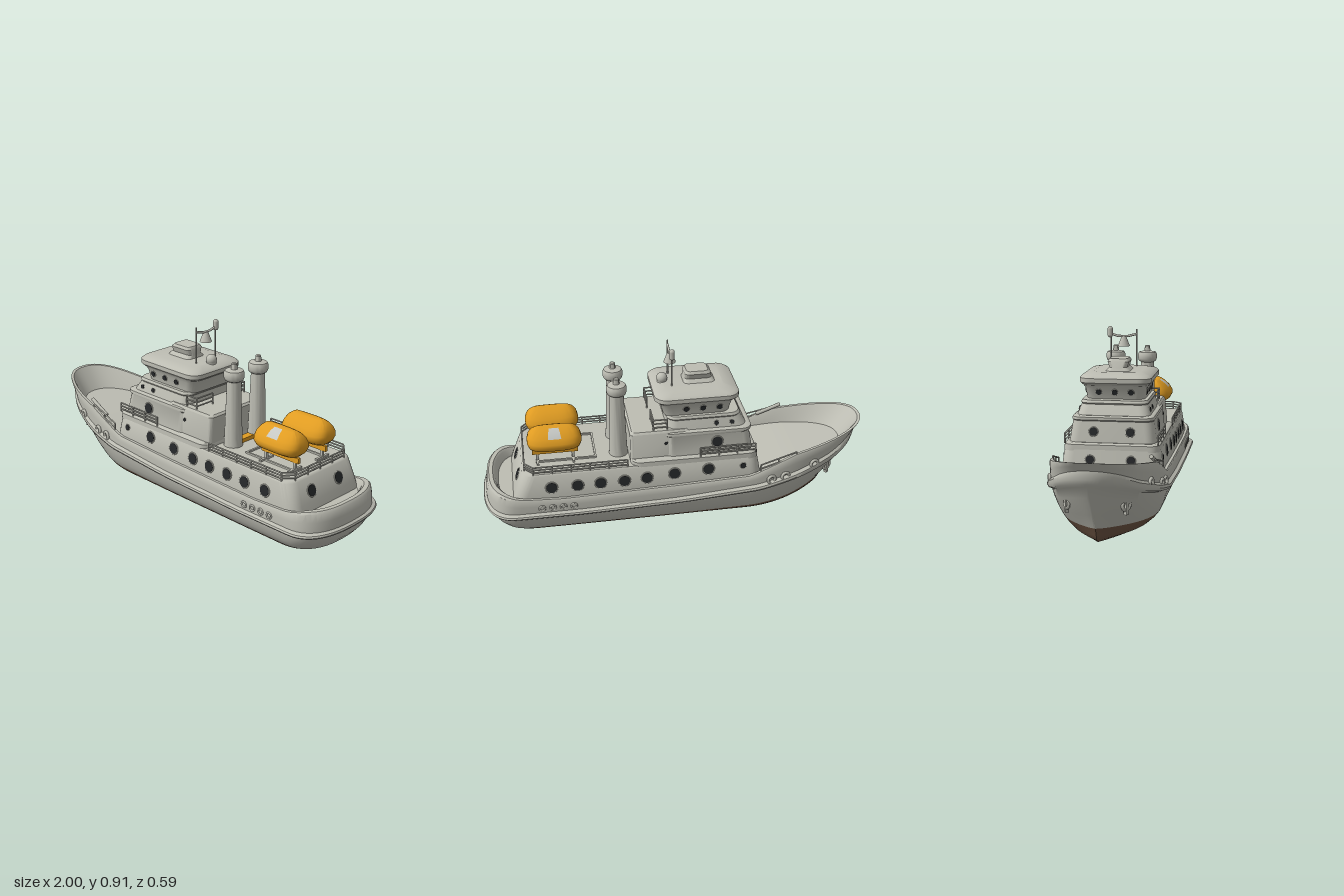
import * as THREE from 'three';
import { toCreasedNormals } from 'three/addons/utils/BufferGeometryUtils.js';

const mat = (name, color) => Object.assign(new THREE.MeshStandardMaterial({ color }), { name });
const grey = mat('ship grey', 0xbdbdb3);
const brown = mat('bottom brown', 0x6f5644);
const dark = mat('window dark', 0x26282a);
const orange = mat('lifeboat orange', 0xe09c22);
const pale = mat('hatch pale grey', 0xc6c8c4);
const V = (x, y, z) => new THREE.Vector3(x, y, z);
const UP = V(0, 1, 0);

// Piecewise linear curve through [x, y] pairs
const curve = (pts) => (x) => {
  let i = 1;
  while (i < pts.length - 1 && x > pts[i][0]) i++;
  const [a, b] = [pts[i - 1], pts[i]];
  return a[1] + (b[1] - a[1]) * THREE.MathUtils.clamp((x - a[0]) / (b[0] - a[0]), 0, 1);
};

function add(parent, name, geo, material, x = 0, y = 0, z = 0) {
  const m = new THREE.Mesh(geo, material);
  m.name = name;
  m.position.set(x, y, z);
  parent.add(m);
  return m;
}

// Skin closed rings stacked upward; pick(i, j) chooses the material of a quad
function loft(rings, crease, materials = 1, pick = () => 0) {
  const n = rings[0].length, lists = Array.from({ length: materials }, () => []);
  for (let i = 0; i < rings.length - 1; i++)
    for (let j = 0; j < n; j++) {
      const k = (j + 1) % n, a = i * n + j, b = i * n + k, c = a + n, d = b + n;
      lists[pick(i, j)].push(a, b, d, a, d, c);
    }
  const geo = new THREE.BufferGeometry().setFromPoints(rings.flat());
  geo.setIndex(lists.flat());
  let start = 0;
  lists.forEach((l, i) => { geo.addGroup(start, l.length, i); start += l.length; });
  return toCreasedNormals(geo, crease);
}
const flat = (ring) => ring.map((p) => V(p.x, p.y, 0));
const capped = (rings) => [flat(rings[0]), ...rings, flat(rings[rings.length - 1])];

// Rounded-rectangle storey; levels are [x0, x1, half width, y, corner radius]
function tier(parent, name, levels, material = grey) {
  const rings = levels.map(([x0, x1, w, y, r]) => {
    const ring = [];
    for (let c = 0; c < 4; c++)
      for (let s = 0; s <= 6; s++) {
        const a = (c + s / 6) * Math.PI / 2;
        const cx = c === 0 || c === 3 ? x1 - r : x0 + r, cz = c < 2 ? r - w : w - r;
        ring.push(V(cx + r * Math.cos(a), y, cz - r * Math.sin(a)));
      }
    return ring;
  });
  return add(parent, name, loft(capped(rings), 0.7), material);
}

function bar(parent, name, a, b, r = 0.004, material = grey) {
  const d = b.clone().sub(a);
  const m = add(parent, name, new THREE.CylinderGeometry(r, r, d.length(), 8), material);
  m.position.copy(a).addScaledVector(d, 0.5);
  m.quaternion.setFromUnitVectors(UP, d.normalize());
}

// Posts with horizontal bars along a path
function railing(parent, name, pts, h, bars = 3) {
  const g = new THREE.Group();
  g.name = name;
  parent.add(g);
  for (let i = 0; i < pts.length - 1; i++) {
    const [a, b] = [pts[i], pts[i + 1]], n = Math.max(1, Math.round(a.distanceTo(b) / 0.09));
    for (let k = 1; k <= bars; k++) {
      const lift = V(0, h * k / bars, 0);
      bar(g, 'railBar', a.clone().add(lift), b.clone().add(lift));
    }
    for (let k = 0; k <= n; k++) {
      const p = a.clone().lerp(b, k / n);
      bar(g, 'railPost', p, p.clone().add(V(0, h, 0)));
    }
  }
}

// Thin dark disc in a raised rim, facing along dir
function porthole(parent, p, r, dir) {
  const g = new THREE.Group();
  g.name = 'porthole';
  add(g, 'glass', new THREE.CylinderGeometry(r, r, 0.008, 24), dark);
  add(g, 'rim', new THREE.TorusGeometry(r * 1.08, r * 0.13, 8, 24), grey).rotation.x = Math.PI / 2;
  g.position.copy(p);
  g.quaternion.setFromUnitVectors(UP, dir.normalize());
  parent.add(g);
}

const sheer = curve([[-1, 0.42], [-0.8, 0.38], [-0.6, 0.345], [-0.48, 0.3], [-0.36, 0.25], [0, 0.235], [0.6, 0.22], [0.8, 0.23], [0.9, 0.25], [1, 0.25]]);
const rubY = curve([[-1, 0.36], [-0.8, 0.28], [-0.6, 0.225], [-0.4, 0.185], [0, 0.155], [0.5, 0.14], [1, 0.14]]);
const deckY = curve([[-1, 0.31], [-0.6, 0.265], [-0.4, 0.235], [0, 0.215], [0.8, 0.2], [1, 0.2]]);

// Plan outline of the hull at one level, stern round to bow and back
function hullRing(xb, xs, w, q, yOf) {
  const half = [], a = 0.17, mid = -0.35;
  for (let i = 0; i <= 12; i++) {
    const t = i / 12 * Math.PI / 2;
    half.push([xs - a + a * Math.cos(t) ** 0.8, w * Math.sin(t) ** 0.8]);
  }
  for (let i = 1; i < 12; i++) half.push([xs - a + (mid - xs + a) * i / 12, w]);
  for (let i = 0; i <= 28; i++) {
    const u = Math.sin(i / 28 * Math.PI / 2);
    half.push([mid - (mid - xb) * u, i === 28 ? 0 : w * (1 - u * u) ** q]);
  }
  const port = half.map(([x, z]) => V(x, yOf(x), -z));
  return [...port, ...half.slice(1, -1).reverse().map(([x, z]) => V(x, yOf(x), z))];
}

function buildHull(ship) {
  // Fraction of rub-rail height, bow x, stern x, half width, bow fullness
  const below = [[0, -0.76, 0.84, 0.165, 1], [0.06, -0.79, 0.88, 0.198, 0.95], [0.15, -0.805, 0.905, 0.218, 0.9], [0.28, -0.825, 0.935, 0.237, 0.85],
    [0.5, -0.87, 0.96, 0.255, 0.72], [0.75, -0.92, 0.978, 0.267, 0.58], [0.89, -0.945, 0.983, 0.271, 0.52],
    [0.92, -0.96, 0.996, 0.288, 0.5], [0.98, -0.965, 1, 0.295, 0.49], [1.04, -0.97, 0.997, 0.291, 0.48], [1.09, -0.968, 0.985, 0.273, 0.47]];
  const rings = below.map(([f, xb, xs, w, q]) => hullRing(xb, xs, w, q, (x) => f * rubY(x)));
  const mix = (f) => (x) => rubY(x) * 1.09 * (1 - f) + sheer(x) * f;
  rings.push(hullRing(-0.985, 0.982, 0.273, 0.45, mix(0.5)), hullRing(-0.997, 0.975, 0.27, 0.42, mix(0.9)),
    hullRing(-1, 0.965, 0.265, 0.42, sheer), hullRing(-0.985, 0.945, 0.25, 0.42, sheer),
    hullRing(-0.975, 0.935, 0.245, 0.42, (x) => sheer(x) - 0.01), hullRing(-0.89, 0.92, 0.238, 0.45, deckY));
  add(ship, 'hull', loft(capped(rings), 0.65, 2, (i) => (i < 4 ? 1 : 0)), [grey, brown]);

  const beam = (x) => 0.273 * (1 - Math.max(0, (-0.35 - x) / 0.63) ** 2) ** 0.46;
  for (const s of [1, -1]) {
    // Fairlead rings and anchors on the bow
    for (const [x, y] of [[-0.7, 0.27], [-0.54, 0.23], [-0.465, 0.222]]) {
      const m = add(ship, 'fairleadRing', new THREE.TorusGeometry(0.02, 0.008, 8, 20), grey, x, y, s * (beam(x) + 0.004));
      m.rotation.y = -s * 0.25;
    }
    const anchor = new THREE.Group();
    anchor.name = 'anchor';
    add(anchor, 'anchorRing', new THREE.TorusGeometry(0.024, 0.008, 8, 20), grey);
    add(anchor, 'anchorShank', new THREE.BoxGeometry(0.016, 0.06, 0.016), grey, 0, -0.015, 0);
    anchor.position.set(-0.8, 0.19, s * 0.135);
    anchor.rotation.y = -s * 0.6;
    ship.add(anchor);
    // Freeing ports near the stern
    for (let i = 0; i < 4; i++)
      add(ship, 'freeingPort', new THREE.TorusGeometry(0.014, 0.005, 6, 12), grey, 0.55 + i * 0.053, 0.178, s * 0.273);
    railing(ship, 'bowRail', [V(-0.6, 0.31, s * 0.24), V(-0.41, 0.26, s * 0.255)], 0.045, 2);
  }
  bar(ship, 'bowDavit', V(-0.5, 0.32, 0.235), V(-0.63, 0.375, 0.225), 0.01);
}

function buildHouse(ship) {
  const house = new THREE.Group();
  house.name = 'superstructure';
  ship.add(house);
  tier(house, 'mainHouse', [[-0.435, 0.85, 0.255, 0.19, 0.06], [-0.42, 0.835, 0.25, 0.24, 0.06], [-0.402, 0.795, 0.237, 0.345, 0.06], [-0.4, 0.785, 0.23, 0.352, 0.055]]);
  tier(house, 'forwardHouse', [[-0.402, 0.25, 0.237, 0.34, 0.05], [-0.4, 0.25, 0.235, 0.37, 0.05], [-0.39, 0.245, 0.225, 0.378, 0.045]]);
  tier(house, 'aftBlock', [[-0.05, 0.25, 0.205, 0.37, 0.02], [-0.05, 0.25, 0.192, 0.505, 0.02], [-0.04, 0.24, 0.182, 0.515, 0.015]]);
  tier(house, 'secondDeck', [[-0.38, 0.08, 0.215, 0.37, 0.05], [-0.36, 0.08, 0.2, 0.48, 0.05], [-0.372, 0.09, 0.203, 0.487, 0.05], [-0.372, 0.09, 0.2, 0.5, 0.05], [-0.36, 0.08, 0.19, 0.506, 0.05]]);
  tier(house, 'thirdDeck', [[-0.35, 0.06, 0.182, 0.5, 0.05], [-0.315, 0.055, 0.165, 0.555, 0.05], [-0.32, 0.06, 0.168, 0.562, 0.05], [-0.312, 0.055, 0.162, 0.575, 0.05]]);
  tier(house, 'bridge', [[-0.265, 0.07, 0.145, 0.57, 0.05], [-0.28, 0.085, 0.152, 0.625, 0.05], [-0.295, 0.1, 0.165, 0.648, 0.055]]);
  tier(house, 'bridgeRoof', [[-0.295, 0.1, 0.165, 0.645, 0.055], [-0.312, 0.117, 0.178, 0.658, 0.065], [-0.312, 0.117, 0.178, 0.68, 0.065], [-0.298, 0.105, 0.165, 0.692, 0.06], [-0.24, 0.06, 0.12, 0.703, 0.05]]);
  tier(house, 'roofBox', [[-0.21, -0.04, 0.07, 0.695, 0.03], [-0.19, -0.05, 0.045, 0.72, 0.025], [-0.185, -0.05, 0.054, 0.748, 0.025], [-0.17, -0.06, 0.046, 0.762, 0.02]]);

  for (const s of [1, -1]) {
    const side = V(0, 0.12, s);
    [[-0.14, 0.303], [0.035, 0.295], [0.175, 0.285], [0.29, 0.28], [0.41, 0.28], [0.525, 0.278], [0.655, 0.278]]
      .forEach(([x, y]) => porthole(house, V(x, y, s * (0.25 - (y - 0.24) * 0.124)), 0.027, side.clone()));
    porthole(house, V(-0.32, 0.305, s * 0.243), 0.014, side.clone());
    porthole(house, V(-0.19, 0.44, s * 0.206), 0.026, side.clone());
    porthole(house, V(0.07, 0.45, s * 0.198), 0.008, side.clone());
    porthole(house, V(0.817, 0.285, s * 0.1), 0.027, V(1, 0.4, 0));
    for (const x of [-0.21, -0.125, -0.04]) porthole(house, V(x, 0.61, s * 0.151), 0.014, V(0, -0.13, s));
    for (const x of [-0.27, -0.19]) porthole(house, V(x, 0.53, s * 0.174), 0.011, V(0, 0.3, s));
    porthole(house, V(-0.277, 0.61, s * 0.08), 0.014, V(-1, -0.25, 0));
    porthole(house, V(-0.37, 0.43, s * 0.09), 0.02, V(-1, 0.18, 0));
    porthole(house, V(-0.412, 0.3, s * 0.1), 0.02, V(-1, 0.16, 0));
    // Walkway and wing rails
    railing(house, 'walkwayRail', [V(-0.385, 0.372, s * 0.228), V(-0.1, 0.372, s * 0.23)], 0.05);
    railing(house, 'wingRail', [V(0.06, 0.51, s * 0.172), V(0.13, 0.51, s * 0.172), V(0.13, 0.51, s * 0.06)], 0.062);
  }
  porthole(house, V(-0.277, 0.61, 0), 0.014, V(-1, -0.25, 0));
  railing(house, 'aftRail', [V(0.27, 0.35, 0.228), V(0.74, 0.35, 0.228), V(0.782, 0.35, 0.18), V(0.782, 0.35, -0.18), V(0.74, 0.35, -0.228), V(0.27, 0.35, -0.228)], 0.042);
  // Low hatch frame on the boat deck
  for (const z of [0.115, -0.115]) add(house, 'deckCoaming', new THREE.BoxGeometry(0.3, 0.012, 0.01), grey, 0.57, 0.355, z);
  add(house, 'deckCoaming', new THREE.BoxGeometry(0.01, 0.012, 0.24), grey, 0.42, 0.355, 0);
}

function buildFunnels(ship) {
  const profile = [[0.048, 0.345], [0.045, 0.4], [0.035, 0.69], [0.046, 0.697], [0.051, 0.71], [0.051, 0.732], [0.045, 0.744], [0.016, 0.75], [0.014, 0.776], [0.01, 0.78], [0, 0.78]];
  const geo = toCreasedNormals(new THREE.LatheGeometry(profile.map(([r, y]) => new THREE.Vector2(r, y)), 28), 0.7);
  for (const z of [0.086, -0.086]) add(ship, 'funnel', geo, grey, 0.3, 0, z);
  add(ship, 'funnelPlate', new THREE.BoxGeometry(0.04, 0.02, 0.1), orange, 0.3, 0.362, 0);
}

function buildMast(ship) {
  const mast = new THREE.Group();
  mast.name = 'mast';
  ship.add(mast);
  bar(mast, 'antennaPole', V(0.02, 0.69, 0.067), V(0.02, 0.892, 0.067));
  bar(mast, 'radarPole', V(0.02, 0.69, -0.067), V(0.02, 0.87, -0.067));
  bar(mast, 'yard', V(0.02, 0.868, 0.067), V(0.02, 0.856, 0.02), 0.006);
  bar(mast, 'yard', V(0.02, 0.856, 0.02), V(0.02, 0.856, -0.03), 0.006);
  bar(mast, 'yard', V(0.02, 0.856, -0.03), V(0.02, 0.868, -0.067), 0.006);
  add(mast, 'radarPod', new THREE.CapsuleGeometry(0.014, 0.03, 6, 16), grey, 0.02, 0.877, -0.071);
  add(mast, 'horn', new THREE.CylinderGeometry(0.012, 0.031, 0.05, 20), grey, 0.02, 0.83, 0);
  add(mast, 'domeBase', new THREE.CylinderGeometry(0.024, 0.026, 0.035, 20), grey, 0.06, 0.705, 0);
  add(mast, 'dome', new THREE.SphereGeometry(0.028, 20, 14), grey, 0.06, 0.718, 0);
}

function buildLifeboats(ship) {
  // Height, half length, half width
  const levels = [[0.415, 0.08, 0.008], [0.428, 0.108, 0.045], [0.447, 0.128, 0.077], [0.468, 0.136, 0.0885], [0.485, 0.136, 0.086], [0.51, 0.129, 0.07], [0.533, 0.113, 0.046], [0.548, 0.093, 0.022], [0.555, 0.075, 0.006]];
  const n = 48, pow = (v) => Math.sign(v) * Math.abs(v) ** 0.667;
  for (const s of [1, -1]) {
    const boat = new THREE.Group();
    boat.name = 'lifeboat';
    const rings = levels.map(([y, hx, hz]) => Array.from({ length: n }, (_, j) => {
      const a = j / n * Math.PI * 2;
      return V(hx * pow(Math.cos(a)), y, -hz * pow(Math.sin(a)));
    }));
    // Pale hatch on the outboard shoulder
    const hatch = (i, j) => {
      const a = (j + 0.5) / n * Math.PI * 2;
      return (i === 6 || i === 7) && Math.abs(Math.cos(a)) < 0.14 && -Math.sin(a) * s > 0 ? 1 : 0;
    };
    add(boat, 'boatShell', loft(capped(rings), 0.9, 2, hatch), [orange, pale]);
    add(boat, 'boatKeel', new THREE.BoxGeometry(0.23, 0.028, 0.016), orange, 0, 0.408, 0);
    for (const x of [-0.09, 0.09]) {
      add(boat, 'cradleLeg', new THREE.BoxGeometry(0.014, 0.055, 0.014), grey, x, 0.372, 0);
      add(boat, 'cradleArm', new THREE.BoxGeometry(0.012, 0.012, 0.09), grey, x, 0.356, 0);
    }
    boat.position.set(0.622, 0, s * 0.1);
    ship.add(boat);
  }
}

export function createModel() {
  const ship = new THREE.Group();
  ship.name = 'ship';
  [buildHull, buildHouse, buildFunnels, buildMast, buildLifeboats].forEach((build) => build(ship));
  return ship;
}
